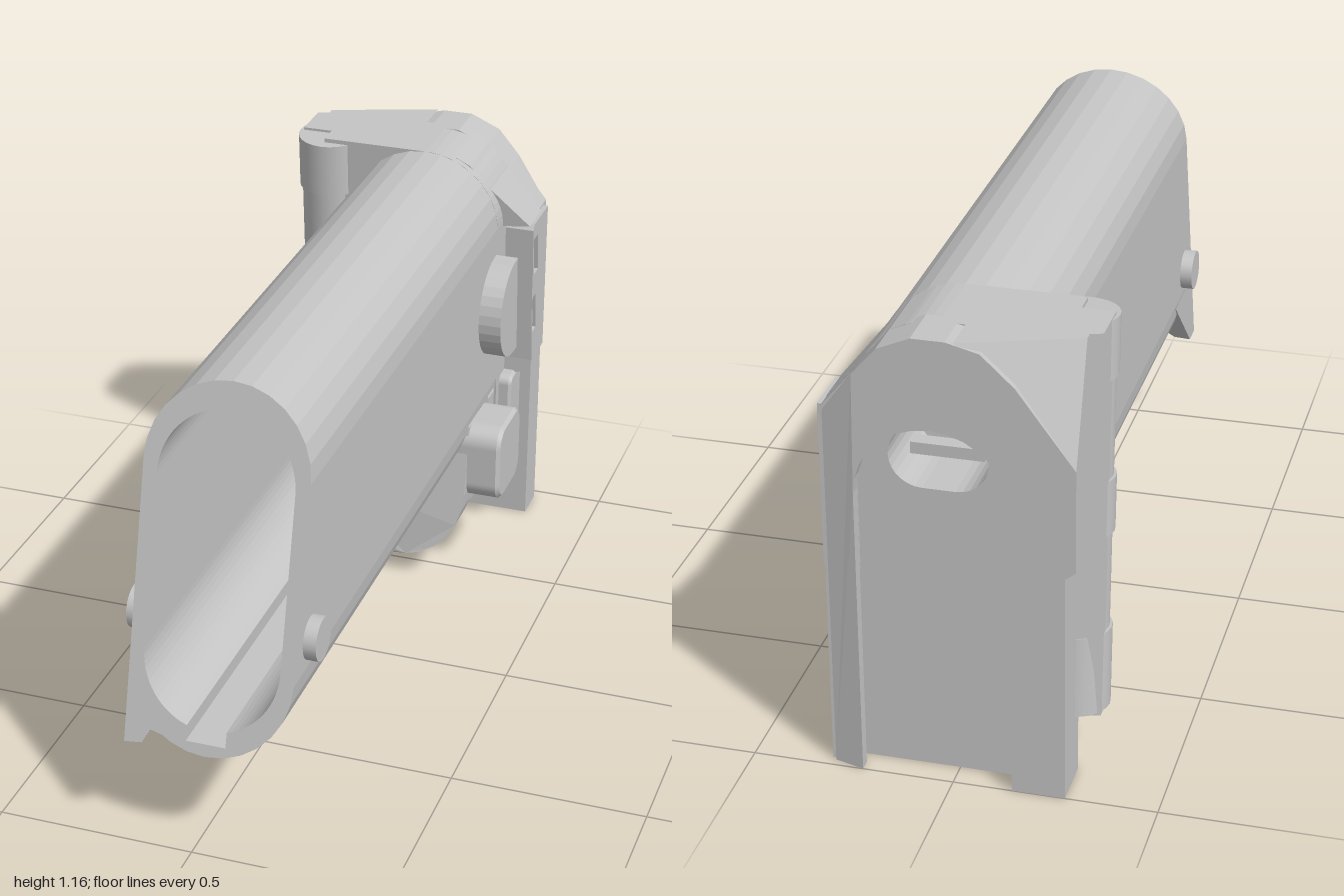
import * as THREE from 'three';

const CX = 0.04; // centre line of the tube
const PI = Math.PI;
const grey = new THREE.MeshStandardMaterial({ color: 0xc4c4c4 });
grey.name = 'grey';

// slanted planes: open front mouth and hinge joint at the rear
const mouth = (y) => 1 - (y - 0.285) * 0.261;
const joint = (y) => -0.69 - (1.165 - y) * 0.07;

const poly = (pts) => new THREE.Shape(pts.map(([x, y]) => new THREE.Vector2(x, y)));

function stadium(r, y0, y1) {
  const s = new THREE.Shape();
  s.absarc(CX, y1 - r, r, 0, PI);
  s.absarc(CX, y0 + r, r, PI, 2 * PI);
  s.closePath();
  return s;
}

function roundedRect(x0, x1, y0, y1, r) {
  const s = new THREE.Shape();
  s.absarc(x1 - r, y0 + r, r, -PI / 2, 0);
  s.absarc(x1 - r, y1 - r, r, 0, PI / 2);
  s.absarc(x0 + r, y1 - r, r, PI / 2, PI);
  s.absarc(x0 + r, y0 + r, r, PI, PI * 1.5);
  s.closePath();
  return s;
}

// tube bore with a key slot at top and bottom
function bore(Type) {
  const s = new Type(), r = 0.17, a = 1.272, top = 0.93, low = 0.515;
  s.absarc(CX, top, r, 0, a);
  s.lineTo(CX + 0.05, 1.13);
  s.lineTo(CX - 0.05, 1.13);
  s.absarc(CX, top, r, PI - a, PI);
  s.absarc(CX, low, r, PI, PI + a);
  s.lineTo(CX - 0.05, 0.315);
  s.lineTo(CX + 0.05, 0.315);
  s.absarc(CX, low, r, 2 * PI - a, 2 * PI);
  s.closePath();
  return s;
}

// arch open at the bottom, from right foot over to left foot
function archPoints(r, topY) {
  const pts = [[CX + r, 0]];
  for (let i = 0; i <= 14; i++) {
    const a = (i / 14) * PI;
    pts.push([CX + r * Math.cos(a), topY - r + r * Math.sin(a)]);
  }
  pts.push([CX - r, 0]);
  return pts;
}

export function createModel() {
  const model = new THREE.Group();
  model.name = 'hingedTube';

  const add = (name, geo, x = 0, y = 0, z = 0) => {
    const m = new THREE.Mesh(geo, grey);
    m.name = name;
    m.position.set(x, y, z);
    model.add(m);
    return m;
  };

  // front outline swept between two z planes, each a number or a function of y and x
  const prism = (name, shape, back, front) => {
    const at = (f, y, x) => (typeof f === 'function' ? f(y, x) : f);
    const geo = new THREE.ExtrudeGeometry(shape, { depth: 1, bevelEnabled: false, curveSegments: 7 });
    const p = geo.attributes.position;
    for (let i = 0; i < p.count; i++) {
      p.setZ(i, at(p.getZ(i) > 0.5 ? front : back, p.getY(i), p.getX(i)));
    }
    geo.computeVertexNormals();
    return add(name, geo);
  };

  // side outline in (z, y) swept from x0 to x1, with an optional small edge bevel
  const sidePrism = (name, shape, x0, x1, bevel = 0) => {
    const geo = new THREE.ExtrudeGeometry(shape, {
      depth: x1 - x0 - 2 * bevel, curveSegments: 8, bevelEnabled: bevel > 0,
      bevelSize: bevel, bevelThickness: bevel, bevelOffset: -bevel, bevelSegments: 1,
    });
    geo.rotateY(-PI / 2);
    return add(name, geo, x1 - bevel);
  };

  const box = (name, x0, x1, y0, y1, z0, z1) =>
    add(name, new THREE.BoxGeometry(x1 - x0, y1 - y0, z1 - z0), (x0 + x1) / 2, (y0 + y1) / 2, (z0 + z1) / 2);

  const pin = (name, r, x0, x1, y, z) =>
    add(name, new THREE.CylinderGeometry(r, r, x1 - x0, 20).rotateZ(PI / 2), (x0 + x1) / 2, y, z);

  // hollow tube with slanted mouth and closed rear
  const tube = stadium(0.205, 0.285, 1.165);
  tube.holes.push(bore(THREE.Path));
  prism('tube', tube, joint, mouth);
  prism('tubeEndWall', bore(THREE.Shape), joint, (y) => joint(y) + 0.015);

  // spur under the mouth
  const spur = poly([[-0.165, 0.48], [-0.165, 0.285], [-0.12, 0.29], [-0.1, 0.325], [-0.06, 0.315], [-0.125, 0.4]]);
  prism('mouthSpur', spur, (y) => 0.94 - Math.max(0, y - 0.285) * 1.1, mouth);

  // cross pins near the mouth
  pin('leftPin', 0.055, 0.23, 0.277, 0.56, 0.83);
  pin('rightPin', 0.055, -0.198, -0.15, 0.56, 0.83);

  // release lever below the rear of the tube, open through the middle
  const lever = new THREE.Shape();
  lever.moveTo(CX - 0.205, 0.46);
  lever.absarc(CX, 0.265, 0.205, PI, 2 * PI, false);
  lever.lineTo(CX + 0.205, 0.46);
  lever.absarc(CX, 0.49, 0.19, 2 * PI, PI, true);
  const leverFront = (y) => -0.41 - (y - 0.08) * 0.17;
  prism('leverFront', lever, (y) => leverFront(y) - 0.1, (y) => leverFront(y) - Math.max(0, 0.085 - y) * 0.6);
  prism('leverRear', lever, (y) => -0.72 + Math.max(0, 0.14 - y) * 0.9, (y) => -0.6 - (y - 0.08) * 0.17);
  const strap = new THREE.Shape();
  strap.absarc(CX, 0.265, 0.205, PI * 1.29, PI * 1.71, false);
  prism('leverStrap', strap, -0.64, -0.48);

  // push buttons on the left side
  sidePrism('lowerButton', roundedRect(-0.675, -0.462, 0.243, 0.463, 0.055), 0.205, 0.337, 0.01);
  const dome = new THREE.Shape();
  dome.moveTo(-0.72, 0.605);
  dome.lineTo(-0.7, 0.885);
  dome.absarc(-0.68, 0.745, 0.138, PI / 2, -PI / 2, true);
  sidePrism('upperButton', dome, 0.22, 0.306);
  pin('leverPin', 0.04, -0.198, -0.14, 0.31, -0.61);
  box('catchTab', 0.22, 0.25, 0.285, 0.32, -0.73, -0.67);

  // hinge block behind the tube
  const pocket = () => {
    const s = new THREE.Path();
    s.absarc(CX - 0.04, 0.835, 0.08, PI / 2, PI * 1.5);
    s.absarc(CX + 0.04, 0.835, 0.08, -PI / 2, PI / 2);
    s.closePath();
    return s;
  };
  const block = new THREE.Shape();
  block.moveTo(-0.25, 0.16);
  block.lineTo(0.2, 0.16);
  block.lineTo(0.245, 0.22);
  block.absarc(CX, 0.96, 0.205, 0, PI / 2);
  block.lineTo(-0.25, 1.165);
  block.closePath();
  block.holes.push(pocket());
  prism('hingeBlock', block, -0.9, joint);
  box('pocketBar', -0.05, 0.13, 0.8, 0.83, -0.86, -0.82);
  prism('hingeLeaf', poly([[-0.33, 0.16], [-0.24, 0.16], [-0.24, 1.165], [-0.33, 1.165]]),
    (y, x) => (x < -0.3 ? -0.87 : -0.9), (y) => joint(y) - 0.06);

  // shoulders joining the block to the plate: sloped on the left, bevelled corner on the right
  prism('leftShoulder', poly([[0.12, 1.15], [0.16, 1.13], [0.22, 1.06], [0.315, 0.945], [0.12, 0.945]]),
    -0.9, (y, x) => joint(y) - 0.02 - Math.max(0, x - 0.2) * 0.5);
  prism('rightShoulder', poly([[-0.3, 0.88], [-0.02, 1.165], [-0.3, 1.165]]),
    (y, x) => (x < -0.2 && y > 1 ? -0.9 : -1), -0.86);

  // hinge knuckles along the tilted axis
  const knuckles = [[0.163, 0.37, 0.09], [0.37, 0.62, 0.083], [0.62, 0.76, 0.09], [0.76, 1.01, 0.083], [1.01, 1.158, 0.09]];
  for (const [y0, y1, r] of knuckles) {
    const y = (y0 + y1) / 2;
    const k = add('hingeKnuckle', new THREE.CylinderGeometry(r, r, y1 - y0, 24), -0.25, y, joint(y) - 0.06);
    k.rotation.x = Math.atan(0.07);
  }

  // slotted flange on the left side
  const flange = poly([[-0.94, 0.52], [-0.822, 0.52], [-0.79, 0.93], [-0.8, 0.945], [-0.94, 0.945]]);
  for (const y of [0.61, 0.79]) {
    flange.holes.push(new THREE.Path([[-0.855, y], [-0.815, y], [-0.8, y + 0.11], [-0.84, y + 0.11]]
      .map(([z, h]) => new THREE.Vector2(z, h))));
  }
  sidePrism('slottedFlange', flange, 0.235, 0.324);
  sidePrism('flangeFloor', poly([[-0.93, 0.52], [-0.83, 0.52], [-0.81, 0.94], [-0.93, 0.94]]), 0.2, 0.26);
  prism('flangeFoot', poly([[0.22, 0.46], [0.26, 0.465], [0.305, 0.485], [0.324, 0.52], [0.22, 0.52]]), -0.93, -0.822);
  sidePrism('lowerCatch', roundedRect(-0.875, -0.77, 0.22, 0.48, 0.025), 0.18, 0.28, 0.008);
  sidePrism('catchFoot', roundedRect(-0.875, -0.775, 0.125, 0.25, 0.015), 0.15, 0.272);

  // rear mounting plate with an arched undercut channel open at the bottom, left edge rounded
  const outline = (maxX) => [[-0.275, 0], [-0.275, 0.6], [-0.3, 0.62], [-0.3, 0.88], [-0.16, 1.07], [-0.08, 1.145],
    [0.0, 1.165], [0.08, 1.165], [0.16, 1.13], [0.22, 1.06], [0.31, 0.95], [0.31, 0]]
    .map(([x, y]) => [Math.min(x, maxX), y]);
  const base = poly(outline(0.31).reverse());
  base.holes.push(pocket());
  prism('plateBase', base, -0.935, -0.87);
  const rounded = (z, drop) => (y, x) => (x > 0.27 ? z + drop : z);
  prism('plateChannel', poly([...outline(0.31), ...archPoints(0.215, 0.97)]), rounded(-0.97, 0), -0.935);
  prism('plateLip', poly([...outline(0.3), ...archPoints(0.185, 0.94)]), rounded(-1, 0.022), -0.97);

  return model;
}
